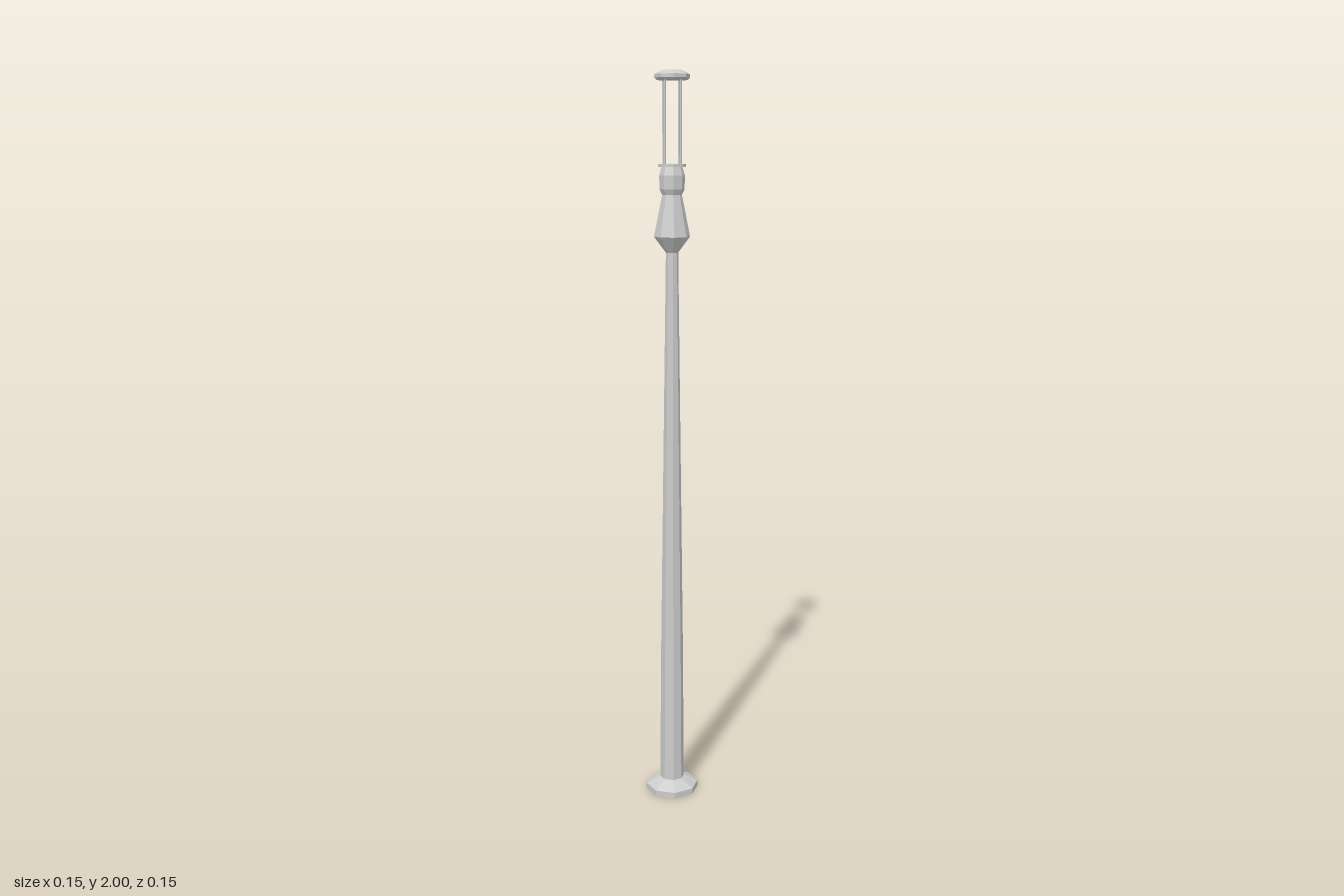
import * as THREE from 'three';

const SIDES = 8;

export function createModel() {
  const group = new THREE.Group();
  const mat = new THREE.MeshStandardMaterial({ color: 0xcccccc, flatShading: true, side: THREE.DoubleSide });

  const add = (name, geometry) => {
    const mesh = new THREE.Mesh(geometry, mat);
    mesh.name = name;
    group.add(mesh);
    return mesh;
  };

  // Octagonal turned part from [radius, height] pairs, bottom to top
  const turned = (name, profile) =>
    add(name, new THREE.LatheGeometry(profile.map(([r, y]) => new THREE.Vector2(r, y)), SIDES));

  // Foot and tapering shaft
  turned('base', [[0, 0], [0.074, 0], [0.074, 0.017], [0.034, 0.037], [0, 0.037]]);
  turned('shaft', [[0.034, 0.037], [0.031, 0.42], [0.0165, 1.535]]);

  // Flared capital, bulb and thin collar under the lantern
  turned('capital', [[0.0165, 1.535], [0.048, 1.577], [0.026, 1.685]]);
  turned('bulb', [[0.026, 1.685], [0.033, 1.7], [0.034, 1.735], [0.027, 1.758]]);
  turned('collar', [[0, 1.757], [0.037, 1.757], [0.037, 1.764], [0, 1.764]]);

  // Four slim lantern posts
  for (let i = 0; i < 4; i++) {
    const a = (i * Math.PI) / 2;
    const post = add('lanternPost', new THREE.BoxGeometry(0.004, 0.214, 0.004));
    post.position.set(Math.sin(a) * 0.029, 1.869, Math.cos(a) * 0.029);
  }

  // Lantern cap
  turned('cap', [[0, 1.975], [0.04, 1.975], [0.046, 1.981], [0.046, 1.99], [0.026, 2], [0, 2]]);

  return group;
}
